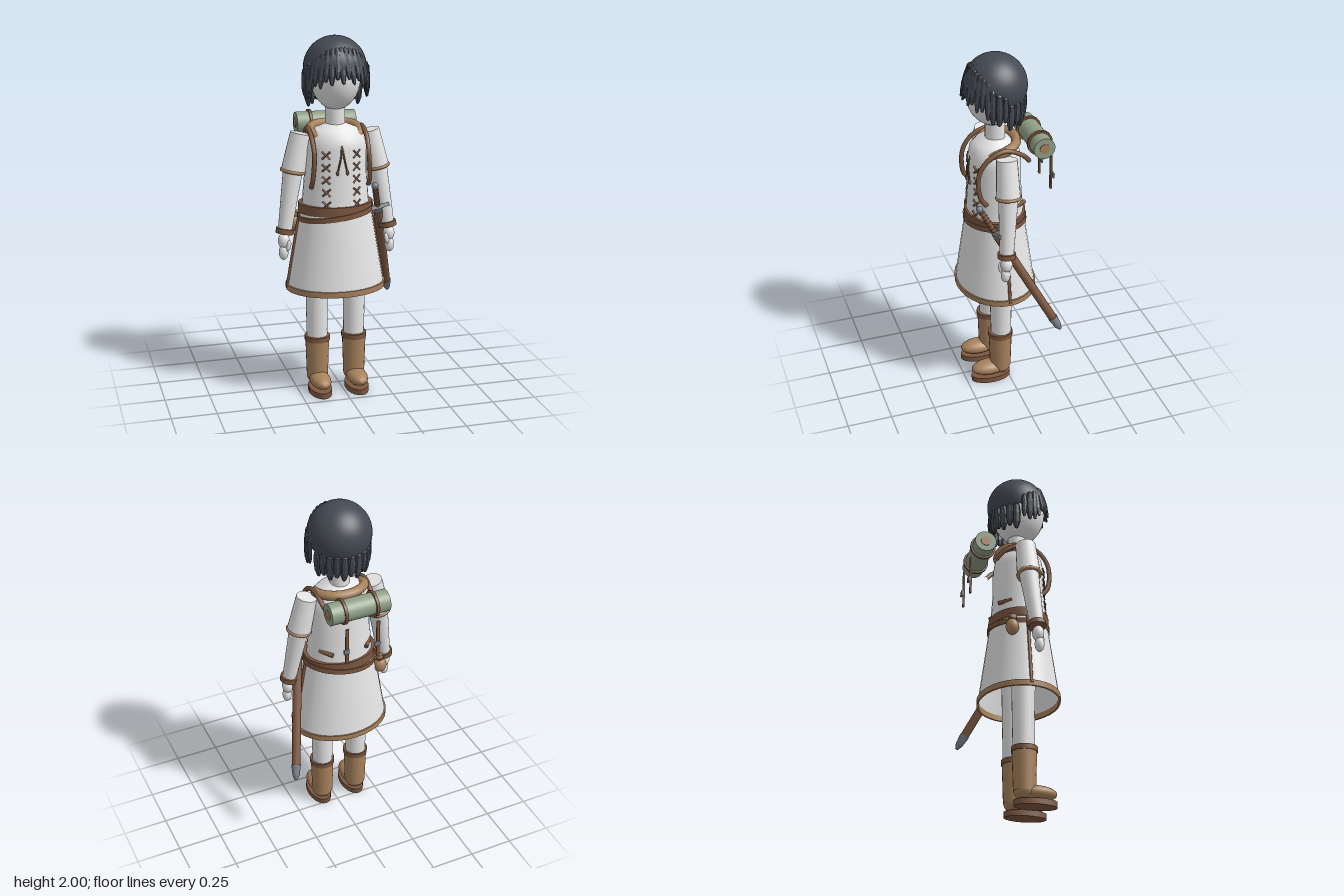
import * as THREE from 'three';
import { toCreasedNormals } from 'three/addons/utils/BufferGeometryUtils.js';

const mat = (name, color) => Object.assign(new THREE.MeshStandardMaterial({ color }), { name });
const V = (x, y, z) => new THREE.Vector3(x, y, z);
const P = (list) => list.map(([x, y]) => new THREE.Vector2(x, y));

export function createModel() {
  const white = mat('white', 0xe6e6e6);
  white.side = THREE.DoubleSide;
  const hair = mat('hair', 0x444952);
  hair.side = THREE.DoubleSide;
  const tan = mat('tan leather', 0xa8825c);
  const brown = mat('brown leather', 0x7d573f);
  const green = mat('green cloth', 0x8f9f86);
  const steel = mat('steel', 0x7b8189);

  const model = new THREE.Group();
  model.name = 'traveller';
  const body = new THREE.Group();
  body.name = 'body';
  body.position.x = -0.03;
  model.add(body);
  const CZ = 0.043; // body axis depth

  const add = (name, geo, m, x = 0, y = 0, z = 0) => {
    const mesh = new THREE.Mesh(geo, m);
    mesh.name = name;
    mesh.position.set(x, y, z);
    body.add(mesh);
    return mesh;
  };
  const ball = (name, m, x, y, z, rx, ry, rz) => {
    const b = add(name, new THREE.SphereGeometry(1, 24, 16), m, x, y, z);
    b.scale.set(rx, ry, rz);
    return b;
  };
  // tapered cylinder from point a to point b
  const rod = (name, m, a, b, ra, rb = ra, seg = 20) => {
    const d = b.clone().sub(a);
    const r = add(name, new THREE.CylinderGeometry(rb, ra, d.length(), seg), m);
    r.position.copy(a).addScaledVector(d, 0.5);
    r.quaternion.setFromUnitVectors(V(0, 1, 0), d.normalize());
    return r;
  };
  const lathe = (name, m, pts, squash, y = 0, z = CZ) => {
    const l = add(name, new THREE.LatheGeometry(P(pts), 32), m, 0, y, z);
    l.scale.z = squash;
    return l;
  };
  // flat hoop with rectangular section
  const band = (name, m, r, h, t, squash, y) => {
    const g = new THREE.LatheGeometry(P([[r, -h], [r + t, -h], [r + t, h], [r, h], [r, -h]]), 32);
    const b = add(name, toCreasedNormals(g, 0.6), m, 0, y, CZ);
    b.scale.z = squash;
    return b;
  };
  const tube = (name, m, pts, r, closed = false) =>
    add(name, new THREE.TubeGeometry(new THREE.CatmullRomCurve3(pts, closed), 48, r, 8, closed), m);

  // tunic
  lathe('torso', white, [[0.19, 1.04], [0.172, 1.25], [0.171, 1.4], [0.158, 1.46], [0.12, 1.5], [0.05, 1.53]], 0.83);
  lathe('skirt', white, [[0.275, 0.61], [0.196, 1.07]], 0.8);
  band('skirtHem', tan, 0.268, 0.016, 0.012, 0.8, 0.62);
  band('belt', brown, 0.186, 0.026, 0.02, 0.8, 1.068);
  band('swordBelt', brown, 0.2, 0.014, 0.014, 0.8, 1.035).rotation.z = 0.12;
  // collar ring dipping at the front
  const collar = [];
  for (let i = 0; i < 20; i++) {
    const a = (i / 20) * Math.PI * 2, f = (1 + Math.cos(a)) / 2;
    collar.push(V(0.135 * Math.sin(a), 1.508 - 0.075 * f * f, 0.033 + 0.105 * Math.cos(a)));
  }
  tube('collar', tan, collar, 0.026, true);

  // chest lacing
  const torsoZ = (x, y) => {
    const r = y < 1.25 ? 0.172 + (1.25 - y) * 0.086 : 0.172;
    return CZ + 0.83 * Math.sqrt(r * r - x * x) + 0.003;
  };
  for (const cx of [-0.085, 0.085]) for (let i = 0; i < 5; i++) for (const s of [-1, 1]) {
    const y = 1.378 - i * 0.068, d = 0.02;
    rod('lacing', brown, V(cx - d, y - s * d, torsoZ(cx - d, y)), V(cx + d, y + s * d, torsoZ(cx + d, y)), 0.005, 0.005, 6);
  }
  for (const s of [-1, 1]) {
    tube('neckCord', brown, [V(0, 1.43, 0.175), V(s * 0.008, 1.37, 0.192), V(s * 0.027, 1.285, 0.192)], 0.005);
    ball('cordEnd', brown, s * 0.027, 1.283, 0.192, 0.008, 0.014, 0.008);
  }

  // head
  rod('neck', white, V(0, 1.48, 0.038), V(0, 1.68, 0.038), 0.055, 0.053);
  ball('head', white, 0, 1.785, 0.045, 0.137, 0.183, 0.15);
  const HC = V(0, 1.828, 0.036);
  const cap = add('hairCap', new THREE.SphereGeometry(0.171, 32, 20, 0, Math.PI * 2, 0, 1.85), hair, HC.x, HC.y, HC.z);
  cap.rotation.x = -0.35;

  // hair locks: faceted tapered strands placed around the head
  const lockGeo = new THREE.LatheGeometry(P([[0, 0], [0.4, 0.03], [0.9, 0.25], [1, 0.6], [0.7, 0.93], [0, 1]]), 8).toNonIndexed();
  lockGeo.computeVertexNormals();
  const lock = (deg, yTop, rTop, yBot, rBot, w) => {
    const a = deg * Math.PI / 180, out = V(Math.sin(a), 0, Math.cos(a));
    const at = (r, y) => V(r * out.x, y, HC.z + r * out.z);
    const bot = at(rBot, yBot), up = at(rTop, yTop).sub(bot), len = up.length();
    up.normalize();
    const zA = out.clone().addScaledVector(up, -out.dot(up)).normalize();
    const xA = up.clone().cross(zA);
    const m = add('hairLock', lockGeo, hair);
    m.quaternion.setFromRotationMatrix(new THREE.Matrix4().makeBasis(xA, up, zA));
    m.position.copy(bot);
    m.scale.set(w, len, w * 0.75);
  };
  for (let i = -6; i <= 6; i++) {
    const k = Math.abs(i) / 6;
    lock(i * 10, 1.955 - 0.05 * k * k, 0.118 + 0.03 * k, 1.762 - 0.06 * k * k + (i % 2 ? 0.025 : 0), 0.182, 0.02);
  }
  for (const s of [-1, 1]) {
    lock(s * 68, 1.87, 0.165, 1.675, 0.175, 0.021);
    lock(s * 79, 1.85, 0.172, 1.665, 0.172, 0.023);
    lock(s * 90, 1.83, 0.172, 1.68, 0.17, 0.018);
  }
  for (let i = 0; i < 11; i++) lock(105 + i * 15, 1.775, 0.155, 1.615 + (i % 2) * 0.02, 0.142, 0.024);

  for (const s of [-1, 1]) {
    // arm and hand
    rod('sleeve', white, V(s * 0.238, 1.27, 0.043), V(s * 0.192, 1.48, 0.036), 0.066, 0.056);
    const elbow = V(s * 0.238, 1.275, 0.043), wrist = V(s * 0.292, 0.95, 0.07);
    const hoop = (name, m, p, r, t) => {
      const h = add(name, new THREE.TorusGeometry(r, t, 8, 28), m, p.x, p.y, p.z);
      h.quaternion.setFromUnitVectors(V(0, 0, 1), V(-s * 0.2, 1, -0.03).normalize());
      return h;
    };
    hoop('sleeveTrim', tan, elbow, 0.061, 0.01);
    rod('forearm', white, wrist, elbow, 0.038, 0.054);
    rod('wristCuff', brown, wrist.clone().add(V(s * 0.002, -0.014, 0.001)), wrist.clone().add(V(-s * 0.003, 0.014, -0.001)), 0.05);
    ball('palm', white, s * 0.299, 0.895, 0.074, 0.032, 0.045, 0.032);
    ball('fingers', white, s * 0.302, 0.832, 0.08, 0.026, 0.044, 0.026);
    ball('thumb', white, s * 0.278, 0.872, 0.1, 0.013, 0.032, 0.013).rotation.z = s * 0.2;

    // leg and boot
    const x = s * 0.107;
    rod('leg', white, V(x, 0.3, 0.042), V(x, 1.0, 0.042), 0.058, 0.07);
    rod('bootShaft', tan, V(x, 0.08, 0.046), V(x, 0.31, 0.046), 0.06, 0.067);
    rod('bootCuff', brown, V(x, 0.292, 0.046), V(x, 0.32, 0.046), 0.071);
    ball('bootFoot', tan, x, 0.073, 0.112, 0.058, 0.042, 0.108);
    ball('bootHeel', tan, x, 0.08, 0.045, 0.06, 0.05, 0.056);
    const sole = rod('bootSole', brown, V(x, 0, 0.105), V(x, 0.032, 0.105), 1);
    sole.scale.set(0.063, 1, 0.117);

    // skirt side seam
    rod('skirtSeam', brown, V(s * 0.276, 0.62, CZ), V(s * 0.204, 1.04, CZ), 0.009, 0.009, 8);

    // shoulder strap, lower strap end and side tie
    tube('shoulderStrap', brown, [V(s * 0.12, 1.41, -0.115), V(s * 0.14, 1.46, -0.07), V(s * 0.15, 1.505, 0.03),
      V(s * 0.152, 1.47, 0.12), V(s * 0.15, 1.39, 0.175), V(s * 0.158, 1.25, 0.172), V(s * 0.16, 1.2, 0.14)], 0.013);
    rod('strapEnd', brown, V(s * 0.15, 1.158, -0.03), V(s * 0.1, 1.15, -0.095), 0.012, 0.012, 8);

    // bedroll strap, hanging tail and buckle
    const bx = s * 0.09;
    const hoop2 = add('rollStrap', new THREE.CylinderGeometry(0.071, 0.071, 0.016, 32), brown, bx, 1.492, -0.184);
    hoop2.rotation.z = Math.PI / 2;
    add('strapTail', new THREE.BoxGeometry(0.018, 0.22, 0.01), brown, bx, 1.31, -0.251);
    add('buckle', new THREE.BoxGeometry(0.03, 0.028, 0.009), steel, bx + 0.008, 1.285, -0.261);
  }

  // bedroll
  rod('bedroll', green, V(-0.168, 1.492, -0.184), V(0.168, 1.492, -0.184), 0.06, 0.06, 32);
  rod('bedrollCore', tan, V(-0.172, 1.492, -0.184), V(0.172, 1.492, -0.184), 0.028);

  // pouch
  ball('pouch', tan, -0.212, 0.962, -0.045, 0.037, 0.046, 0.036);
  rod('pouchNeck', tan, V(-0.212, 0.99, -0.045), V(-0.206, 1.03, -0.04), 0.018, 0.022, 12);
  rod('pouchTie', brown, V(-0.212, 1.0, -0.045), V(-0.21, 1.01, -0.044), 0.022, 0.022, 12);

  // sword in its scabbard
  const top = V(0.18, 1.21, 0.192), tip = V(0.385, 0.46, -0.215);
  const on = (t) => top.clone().lerp(tip, t);
  const p = on(0.015);
  ball('pommel', steel, p.x, p.y, p.z, 0.019, 0.02, 0.019);
  rod('grip', brown, on(0.02), on(0.19), 0.014, 0.014, 12);
  for (let i = 0; i < 6; i++) rod('gripWrap', brown, on(0.04 + i * 0.025), on(0.052 + i * 0.025), 0.017, 0.017, 12);
  const g = on(0.2);
  const guard = add('guard', new THREE.BoxGeometry(0.115, 0.022, 0.026), steel, g.x + 0.01, g.y, g.z);
  guard.rotation.set(-0.35, 0.1, 0.2);
  rod('scabbardMouth', steel, on(0.205), on(0.25), 0.024, 0.024, 12);
  rod('scabbard', brown, on(0.23), on(0.91), 0.025, 0.024, 12);
  rod('scabbardTip', steel, on(0.9), on(0.97), 0.027, 0.02, 12);
  rod('scabbardPoint', steel, on(0.97), on(1.0), 0.02, 0.008, 12);

  return model;
}
